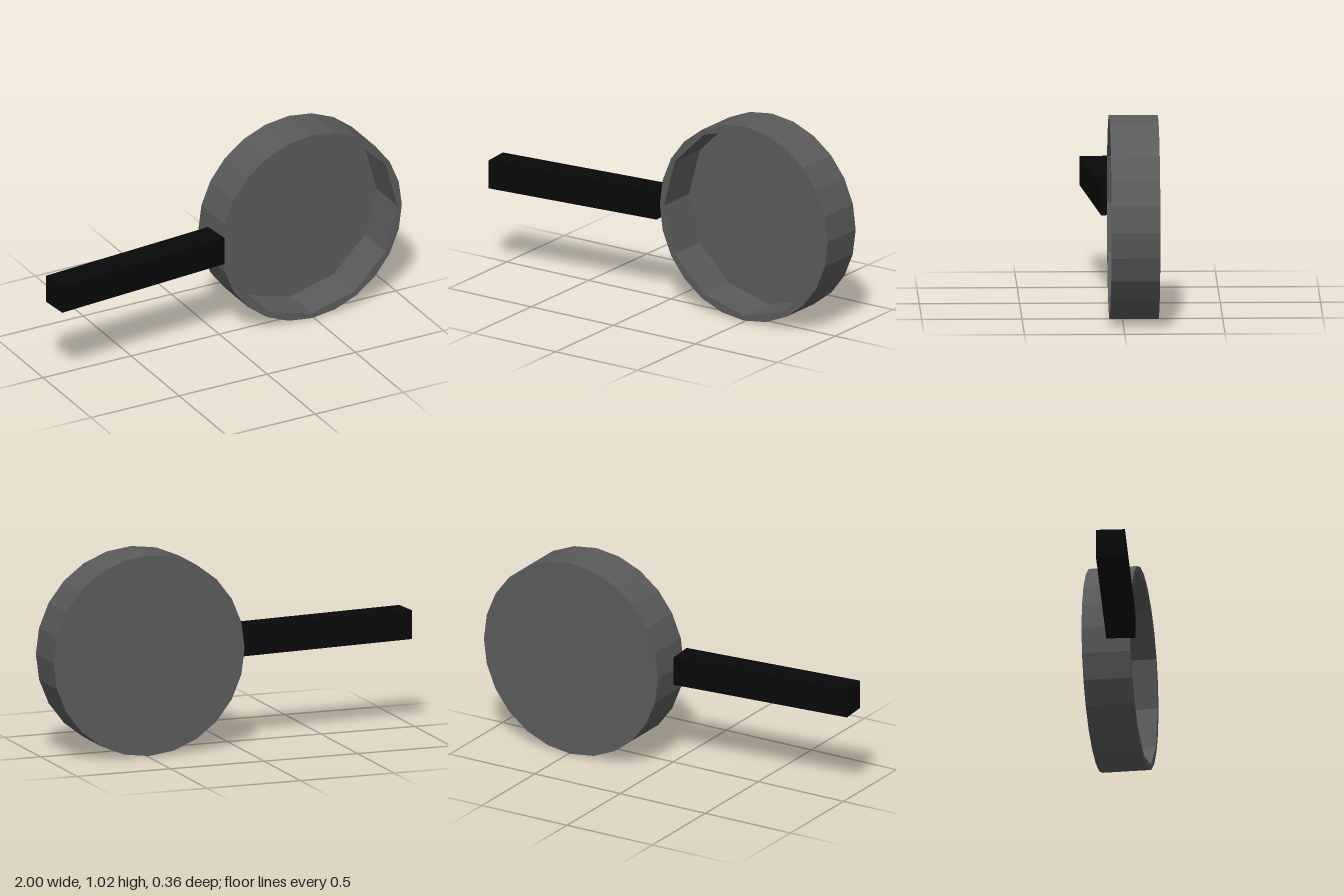
import * as THREE from 'three';

const R_OUT = 0.511, R_IN = 0.485;               // outer wall and cavity radius
const SIDES_OUT = 24, SIDES_IN = 12;
const Z_BACK = -0.178, Z_FLOOR = -0.152, Z_RIM = 0.065;

// Regular polygon outline in the xy plane
function polygon(radius, sides) {
  return Array.from({ length: sides }, (_, i) => {
    const a = (i / sides) * Math.PI * 2;
    return new THREE.Vector2(radius * Math.cos(a), radius * Math.sin(a));
  });
}

// Open tube along z between two depths
function tube(radius, sides, z0, z1) {
  return new THREE.CylinderGeometry(radius, radius, z1 - z0, sides, 1, true)
    .rotateX(Math.PI / 2)
    .translate(0, 0, (z0 + z1) / 2);
}

// Facet a geometry so its normals follow the winding of each face
function faceted(geometry) {
  const g = geometry.index ? geometry.toNonIndexed() : geometry;
  g.computeVertexNormals();
  return g;
}

export function createModel() {
  const model = new THREE.Group();
  model.name = 'fryingPan';
  const metal = new THREE.MeshStandardMaterial({ color: 0x5a5a5a, flatShading: true });
  const black = new THREE.MeshStandardMaterial({ color: 0x080808, flatShading: true });

  const add = (parent, name, geometry, material) => {
    const mesh = new THREE.Mesh(faceted(geometry), material);
    mesh.name = name;
    parent.add(mesh);
    return mesh;
  };

  // Pan body, opening toward +z
  const pan = new THREE.Group();
  pan.name = 'pan';
  pan.position.set(0.489, 0.511, 0);
  model.add(pan);

  add(pan, 'outerWall', tube(R_OUT, SIDES_OUT, Z_BACK, Z_RIM), metal);
  // Mirroring reverses the winding so the cavity wall faces inward
  add(pan, 'innerWall', tube(R_IN, SIDES_IN, Z_FLOOR, Z_RIM).scale(-1, 1, 1), metal);

  // Flat rim joining the 24-sided outside to the 12-sided cavity
  const rim = new THREE.Shape(polygon(R_OUT, SIDES_OUT));
  rim.holes.push(new THREE.Path(polygon(R_IN, SIDES_IN)));
  add(pan, 'rim', new THREE.ShapeGeometry(rim).translate(0, 0, Z_RIM), metal);

  add(pan, 'cookingFloor', new THREE.CircleGeometry(R_IN, SIDES_IN).translate(0, 0, Z_FLOOR), metal);
  add(pan, 'underside', new THREE.CircleGeometry(R_OUT, SIDES_OUT).rotateY(Math.PI).translate(0, 0, Z_BACK), metal);

  // Square handle, tilted slightly toward the front
  const handle = add(model, 'handle', new THREE.BoxGeometry(0.969, 0.146, 0.145), black);
  handle.position.set(-0.511, 0.512, 0.063);
  handle.rotation.y = THREE.MathUtils.degToRad(5);

  return model;
}
